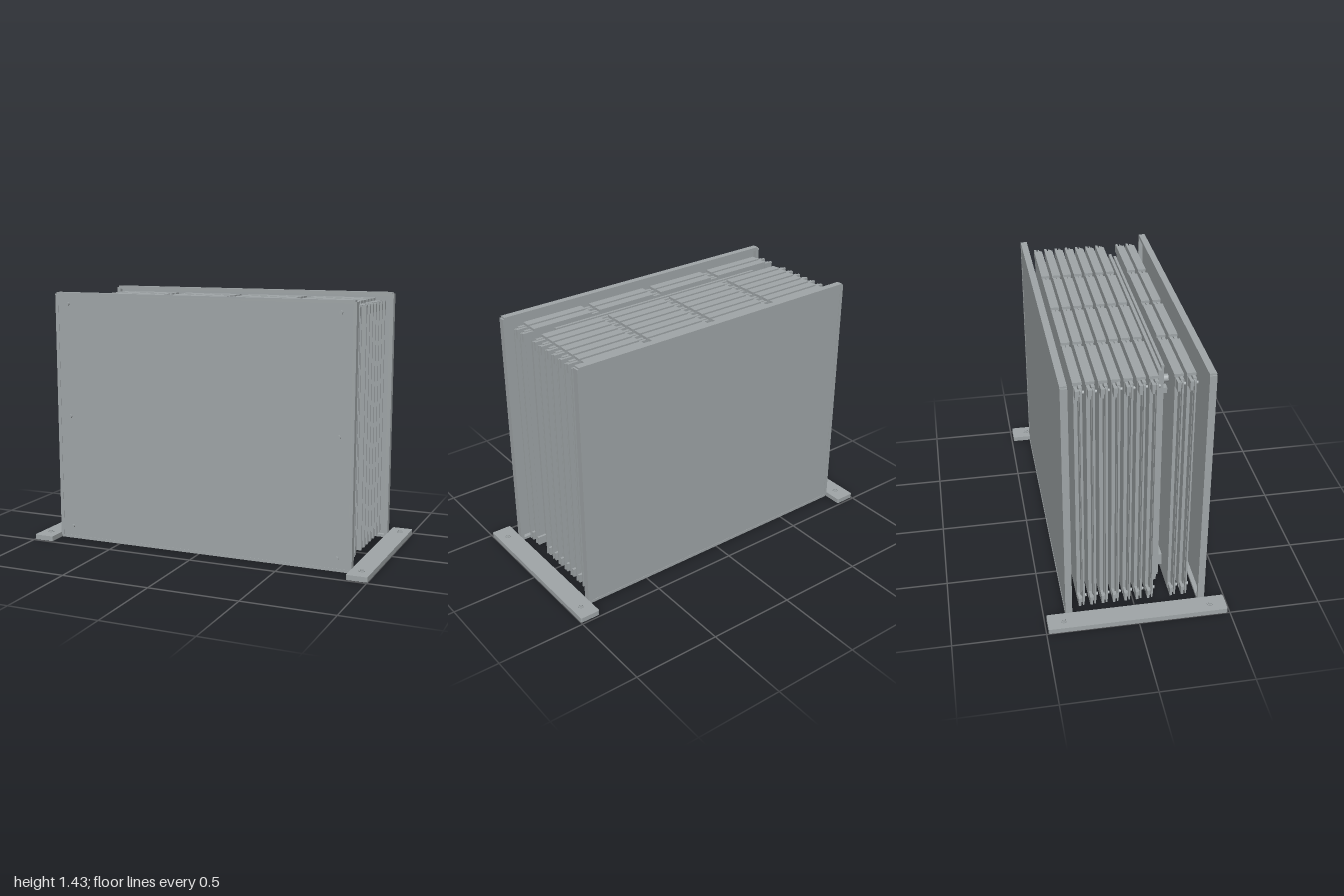
import * as THREE from 'three';

const grey = new THREE.MeshStandardMaterial({ color: 0xa0a6a8 });
grey.name = 'metalGrey';
const rust = new THREE.MeshStandardMaterial({ color: 0xb5552b });
rust.name = 'rustOrange';

// Box given by its min and max on each axis
function block(parent, name, [x0, x1], [y0, y1], [z0, z1], mat = grey) {
  const m = new THREE.Mesh(new THREE.BoxGeometry(x1 - x0, y1 - y0, z1 - z0), mat);
  m.position.set((x0 + x1) / 2, (y0 + y1) / 2, (z0 + z1) / 2);
  m.name = name;
  parent.add(m);
  return m;
}

// Screw or round component; axis is 'y' or 'z'
function disc(parent, name, r, h, x, y, z, axis = 'z') {
  const m = new THREE.Mesh(new THREE.CylinderGeometry(r, r, h, 16), grey);
  if (axis === 'z') m.rotation.x = Math.PI / 2;
  m.position.set(x, y, z);
  m.name = name;
  parent.add(m);
}

// Foot rail with rounded corners and two bolts
function makeFoot(side) {
  const g = new THREE.Group();
  g.name = side > 0 ? 'leftFoot' : 'rightFoot';
  const w = 0.058, l = 0.488, r = 0.01;
  const s = new THREE.Shape();
  s.moveTo(-w + r, -l);
  s.lineTo(w - r, -l); s.quadraticCurveTo(w, -l, w, -l + r);
  s.lineTo(w, l - r); s.quadraticCurveTo(w, l, w - r, l);
  s.lineTo(-w + r, l); s.quadraticCurveTo(-w, l, -w, l - r);
  s.lineTo(-w, -l + r); s.quadraticCurveTo(-w, -l, -w + r, -l);
  const geo = new THREE.ExtrudeGeometry(s, { depth: 0.028, bevelEnabled: false, curveSegments: 4 });
  geo.rotateX(-Math.PI / 2);
  const rail = new THREE.Mesh(geo, grey);
  rail.name = 'footRail';
  rail.position.x = side * 0.942;
  g.add(rail);
  for (const z of [-0.4, 0.4]) {
    disc(g, 'footWasher', 0.017, 0.005, side * 0.945, 0.03, z, 'y');
    disc(g, 'footBolt', 0.01, 0.012, side * 0.945, 0.034, z, 'y');
  }
  return g;
}

// Tray-shaped cover, outer face towards +z
function makeCover(name) {
  const g = new THREE.Group();
  g.name = name;
  block(g, 'coverSheet', [-0.866, 0.866], [0.006, 1.416], [0.37, 0.381]);
  block(g, 'topRim', [-0.876, 0.876], [1.415, 1.434], [0.346, 0.383]);
  block(g, 'bottomRim', [-0.876, 0.876], [0.002, 0.018], [0.346, 0.383]);
  for (const s of [-1, 1]) {
    const x = s * 0.875;
    block(g, 'sideRim', [x - 0.01, x + 0.01], [0.012, 1.425], [0.346, 0.383]);
  }
  return g;
}

// One card: two sheets, four top caps and end clips
function makeCard(z) {
  const g = new THREE.Group();
  g.name = 'card';
  g.position.z = z;
  block(g, 'frontSheet', [-0.83, 0.83], [0.045, 1.39], [0.003, 0.02]);
  block(g, 'backSheet', [-0.8, 0.8], [0.045, 1.39], [-0.019, -0.004]);
  block(g, 'spacer', [-0.78, 0.78], [0.06, 1.38], [-0.005, 0.004]);
  for (let i = 0; i < 4; i++) {
    const x = -0.8 + i * 0.41;
    block(g, 'topCap', [x, x + 0.36], [1.389, 1.404], [-0.023, 0.024]);
  }
  for (const s of [-1, 1]) {
    const x = s * 0.83;
    block(g, 'edgeStrip', [x - 0.025, x + 0.025], [0.045, 1.385], [0.005, 0.013]);
    for (const y of [0.045, 1.34]) {
      block(g, 'endClip', [x - 0.03, x + 0.022], [y, y + 0.05], [-0.018, -0.004]);
      block(g, 'clipBridge', [x - 0.012, x + 0.01], [y + 0.01, y + 0.04], [-0.006, 0.01]);
    }
    for (const y of [0.08, 1.357]) disc(g, 'clipScrew', 0.009, 0.014, s * 0.815, y, 0.024);
  }
  return g;
}

// Narrower card carrying components on its front
function makeControlBoard() {
  const g = new THREE.Group();
  g.name = 'controlBoard';
  block(g, 'boardFront', [-0.68, 0.68], [0.05, 1.39], [0.153, 0.167]);
  block(g, 'boardBack', [-0.72, 0.72], [0.05, 1.385], [0.13, 0.147]);
  block(g, 'boardCore', [-0.67, 0.67], [0.06, 1.37], [0.146, 0.154]);
  block(g, 'rustBlock', [0.05, 0.1], [0.84, 1.005], [0.166, 0.192], rust);
  block(g, 'rustStrip', [0.05, 0.14], [0.31, 1.15], [0.187, 0.194], rust);
  const parts = [ // x range, y range
    [-0.3, 0.17, 1.08, 1.14], [0.22, 0.68, 1.28, 1.32], [-0.68, -0.64, 1.23, 1.26],
    [-0.3, 0.04, 0.73, 0.78], [0.22, 0.52, 0.55, 0.59], [-0.2, 0.17, 0.31, 0.34],
    [-0.68, -0.32, 0.12, 0.19], [0.3, 0.6, 0.12, 0.18],
  ];
  for (const [x0, x1, y0, y1] of parts) block(g, 'component', [x0, x1], [y0, y1], [0.166, 0.186]);
  disc(g, 'knob', 0.022, 0.028, -0.65, 1.3, 0.18);
  return g;
}

export function createModel() {
  const model = new THREE.Group();
  model.name = 'cardRack';

  model.add(makeFoot(1), makeFoot(-1));

  // Outer covers, the front one with screws
  const front = makeCover('frontCover');
  for (const s of [-1, 1])
    for (const y of [0.075, 0.725, 1.37]) disc(front, 'coverScrew', 0.01, 0.012, s * 0.803, y, 0.386);
  const back = makeCover('backCover');
  back.rotation.y = Math.PI;
  model.add(front, back);

  // Ten slots, the third holding the control board
  for (let i = 0; i < 10; i++) model.add(i === 2 ? makeControlBoard() : makeCard(0.276 - i * 0.0627));

  return model;
}
